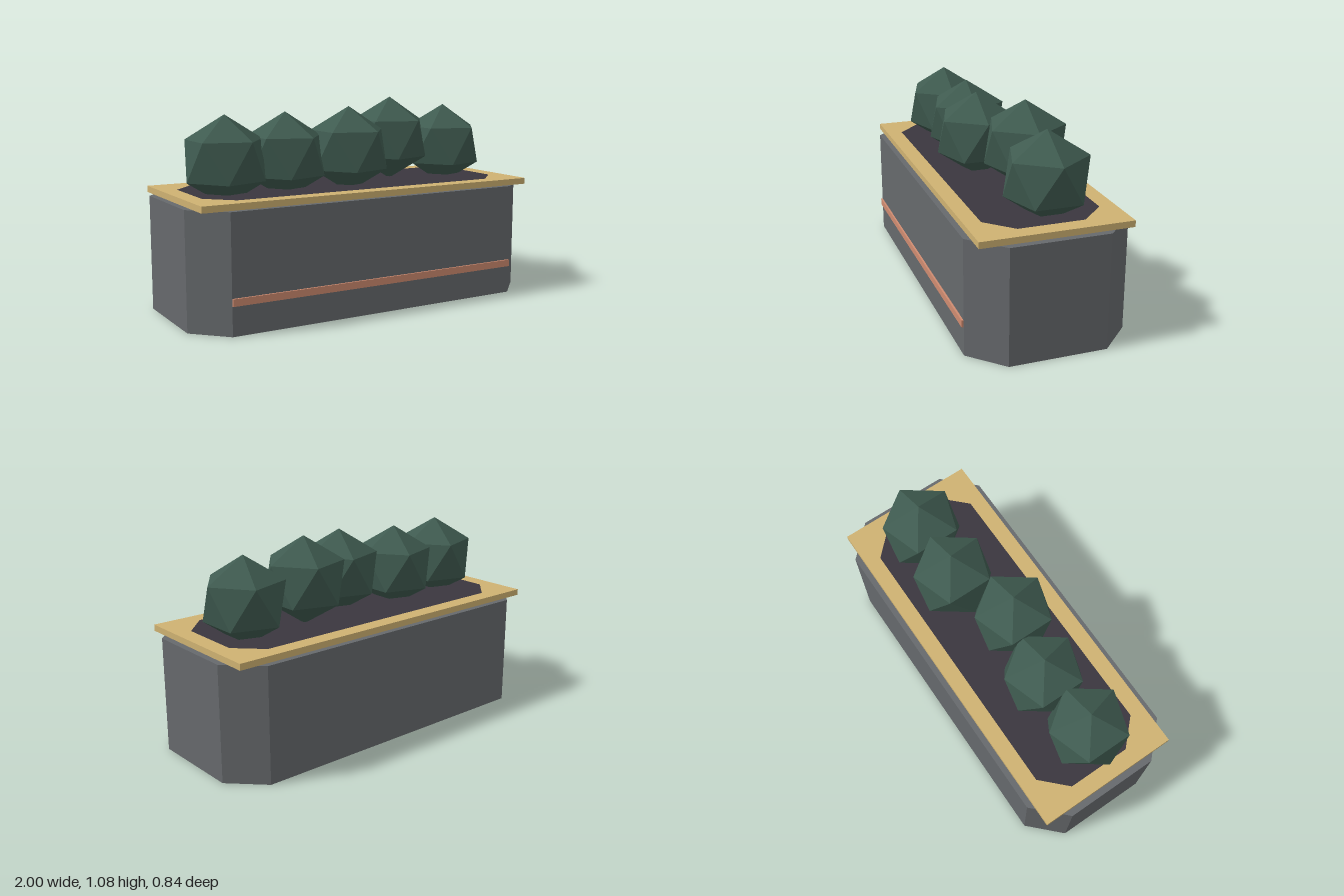
import * as THREE from 'three';

const flat = (name, color) => {
  const m = new THREE.MeshStandardMaterial({ color });
  m.name = name;
  return m;
};

// Corner points of a rectangle with 45-degree cut corners
const octagon = (hx, hz, cut) => [
  [hx, -hz + cut], [hx, hz - cut], [hx - cut, hz], [-hx + cut, hz],
  [-hx, hz - cut], [-hx, -hz + cut], [-hx + cut, -hz], [hx - cut, -hz],
].map(([x, z]) => new THREE.Vector2(x, z));

// Upright prism from a plan shape, standing on y0
const prism = (shape, y0, height) => new THREE.ExtrudeGeometry(shape, { depth: height, bevelEnabled: false })
  .rotateX(-Math.PI / 2).translate(0, y0, -0.006);

export function createModel() {
  const stone = flat('greyStone', 0x66696c);
  const wood = flat('paleWood', 0xcfb272);
  const earth = flat('darkSoil', 0x3a363f);
  const leaf = flat('darkLeaf', 0x3f5b50);
  const copper = flat('copper', 0xcf8b70);

  const group = new THREE.Group();
  group.name = 'planter';
  const add = (name, geometry, material) => {
    const mesh = new THREE.Mesh(geometry, material);
    mesh.name = name;
    group.add(mesh);
    return mesh;
  };

  // Trough with cut corners
  add('trough', prism(new THREE.Shape(octagon(1, 0.415, 0.165)), 0, 0.6), stone);

  // Rectangular rim around the soil opening
  const rim = new THREE.Shape(octagon(0.966, 0.384, 0).filter((p, i) => i % 2 === 0));
  const opening = octagon(0.88, 0.3, 0.13);
  rim.holes.push(new THREE.Path(opening));
  add('rim', prism(rim, 0.6, 0.033), wood);
  add('soil', prism(new THREE.Shape(opening), 0.6, 0.033), earth);

  // Accent strip on the front
  add('frontStrip', new THREE.BoxGeometry(1.668, 0.037, 0.01).translate(0, 0.168, 0.414), copper);

  // Faceted shrubs, each with one point straight up
  const shrub = new THREE.IcosahedronGeometry(0.23, 0)
    .rotateZ(-Math.atan(2 / (1 + Math.sqrt(5))));
  const spots = [
    [-0.7, 0.796, 0.036], [-0.35, 0.798, 0.01], [0, 0.818, 0.067],
    [0.35, 0.853, -0.074], [0.7, 0.803, -0.048],
  ];
  spots.forEach((p, i) => add('shrub' + (i + 1), shrub, leaf).position.set(...p));

  return group;
}
